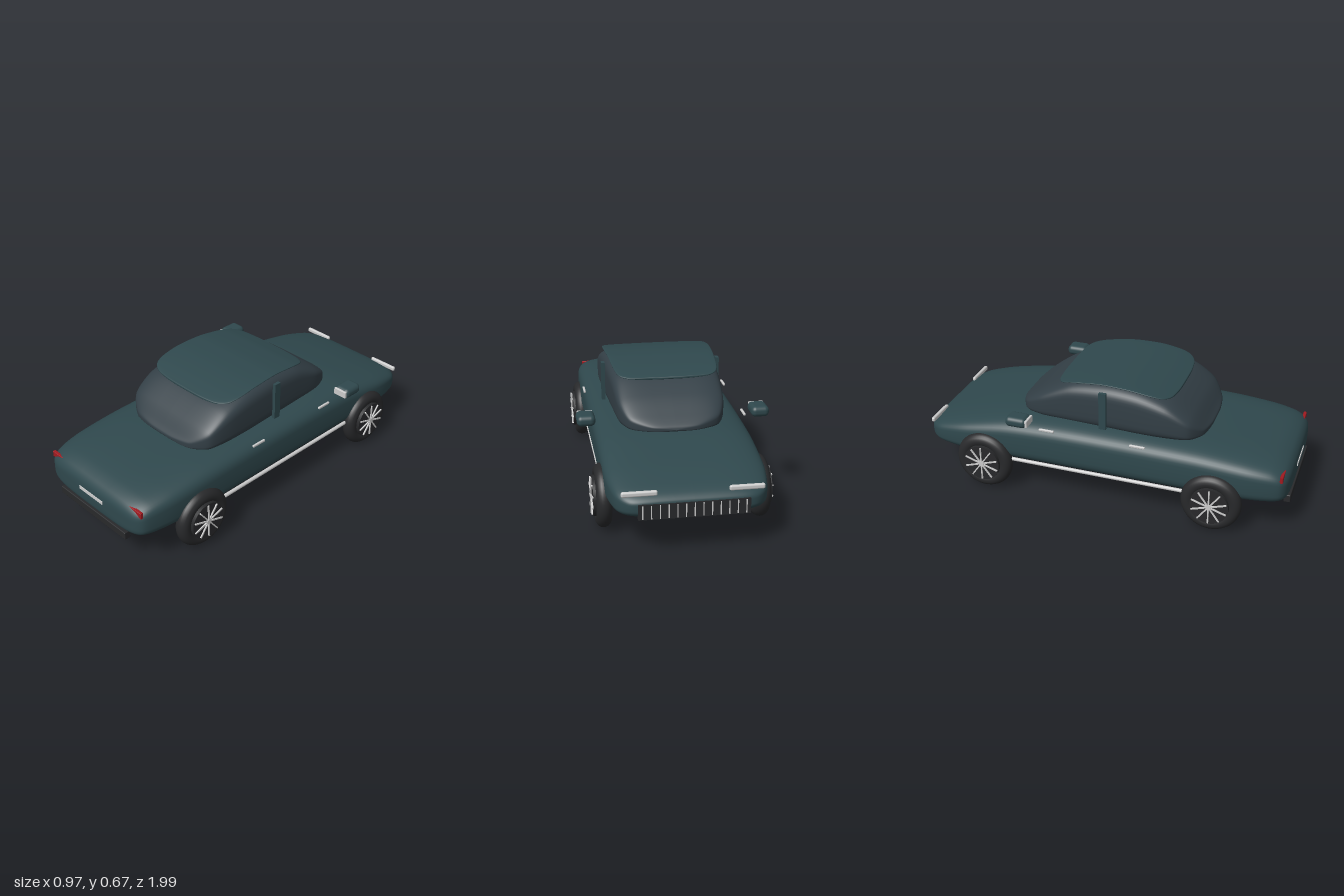
import * as THREE from 'three';
import { RoundedBoxGeometry } from 'three/addons/geometries/RoundedBoxGeometry.js';

const mat = (color) => new THREE.MeshStandardMaterial({ color });

// Smooth closed hull through sections [z, bottom, top, halfWidth], z ascending.
function loft(sections, power, steps = 72, around = 64) {
  const spine = new THREE.CatmullRomCurve3(
    sections.map((s) => new THREE.Vector3(s[0], s[1], s[2])), false, 'catmullrom', 0.4);
  const width = new THREE.CatmullRomCurve3(
    sections.map((s) => new THREE.Vector3(s[3], 0, 0)), false, 'catmullrom', 0.4);
  const round = (v) => Math.sign(v) * Math.pow(Math.abs(v), 2 / power);
  const pos = [];
  const index = [];
  for (let i = 0; i <= steps; i++) {
    const p = spine.getPoint(i / steps);
    const w = Math.max(width.getPoint(i / steps).x, 0);
    for (let j = 0; j < around; j++) {
      const a = (j / around) * Math.PI * 2;
      pos.push(w * round(Math.cos(a)), (p.y + p.z) / 2 + ((p.z - p.y) / 2) * round(Math.sin(a)), p.x);
      if (i === steps) continue;
      const k = (j + 1) % around;
      const [q, r, s, t] = [i * around + j, i * around + k, (i + 1) * around + k, (i + 1) * around + j];
      index.push(q, r, t, r, s, t);
    }
  }
  const g = new THREE.BufferGeometry();
  g.setAttribute('position', new THREE.Float32BufferAttribute(pos, 3));
  g.setIndex(index);
  g.computeVertexNormals();
  return g;
}

export function createModel() {
  const car = new THREE.Group();
  car.name = 'car';
  const paint = mat(0x2f484d);
  const glass = mat(0x333f46);
  const black = mat(0x28292b);
  const red = mat(0xa01a20);
  const white = mat(0xf2f2f2);
  const grey = mat(0xcccccc);

  const add = (name, geometry, material, x = 0, y = 0, z = 0, parent = car) => {
    const m = new THREE.Mesh(geometry, material);
    m.name = name;
    m.position.set(x, y, z);
    parent.add(m);
    return m;
  };
  const box = (w, h, d) => new THREE.BoxGeometry(w, h, d);

  // Body hull, nose towards -z
  add('body', loft([
    [-0.993, 0.245, 0.245, 0],
    [-0.988, 0.21, 0.275, 0.25],
    [-0.96, 0.188, 0.298, 0.32],
    [-0.9, 0.172, 0.322, 0.36],
    [-0.75, 0.158, 0.363, 0.387],
    [-0.5, 0.152, 0.412, 0.392],
    [-0.2, 0.15, 0.428, 0.392],
    [0.2, 0.15, 0.428, 0.392],
    [0.55, 0.152, 0.42, 0.392],
    [0.78, 0.156, 0.4, 0.387],
    [0.9, 0.163, 0.38, 0.37],
    [0.96, 0.175, 0.353, 0.345],
    [0.987, 0.2, 0.315, 0.27],
    [0.993, 0.25, 0.25, 0],
  ], 4), paint);

  // Glass cabin
  add('cabinGlass', loft([
    [-0.5, 0.42, 0.42, 0],
    [-0.49, 0.41, 0.44, 0.12],
    [-0.44, 0.4, 0.48, 0.225],
    [-0.34, 0.39, 0.55, 0.27],
    [-0.18, 0.38, 0.63, 0.285],
    [0.02, 0.38, 0.658, 0.297],
    [0.2, 0.38, 0.648, 0.304],
    [0.35, 0.39, 0.605, 0.305],
    [0.46, 0.4, 0.53, 0.283],
    [0.52, 0.41, 0.46, 0.2],
    [0.538, 0.42, 0.44, 0.1],
    [0.542, 0.43, 0.43, 0],
  ], 4.5), glass);

  // Thin arched roof shell
  const roof = [[-0.263, 0], [-0.26, 0.12], [-0.25, 0.21], [-0.22, 0.252], [-0.15, 0.27], [0, 0.282],
    [0.15, 0.29], [0.26, 0.287], [0.32, 0.268], [0.355, 0.215], [0.369, 0.12], [0.372, 0]];
  add('roof', loft(roof.map(([z, w]) => {
    const top = 0.667 - 0.48 * (z - 0.055) ** 2;
    return [z, top - (w ? 0.012 : 0.006), top - (w ? 0 : 0.006), w];
  }), 4), paint);

  // Tapered tail light outline, inner end at x = 0.16
  const tail = new THREE.Shape();
  tail.moveTo(0.345, 0.342);
  tail.lineTo(0.165, 0.342);
  tail.quadraticCurveTo(0.152, 0.338, 0.165, 0.331);
  tail.quadraticCurveTo(0.23, 0.328, 0.27, 0.317);
  tail.lineTo(0.345, 0.314);
  tail.closePath();

  for (const s of [1, -1]) {
    const side = s > 0 ? 'left' : 'right';
    add(side + 'Pillar', box(0.018, 0.205, 0.038), paint, s * 0.308, 0.525, 0.017);
    const light = add(side + 'TailLight', new THREE.ExtrudeGeometry(tail,
      { depth: 0.012, bevelEnabled: true, bevelSize: 0.002, bevelThickness: 0.002, bevelSegments: 1 }),
    red, 0, 0, 0.948);
    if (s < 0) {
      light.rotation.y = Math.PI;
      light.position.z = 0.96;
    }
    add(side + 'Headlight', new RoundedBoxGeometry(0.168, 0.026, 0.02, 4, 0.009), white, s * 0.25, 0.305, -0.956);

    // Side mirror with rear-facing glass
    add(side + 'MirrorShell', new RoundedBoxGeometry(0.092, 0.055, 0.115, 5, 0.024), paint, s * 0.439, 0.47, -0.395);
    add(side + 'MirrorGlass', new RoundedBoxGeometry(0.078, 0.038, 0.014, 2, 0.004), grey, s * 0.439, 0.471, -0.337);

    // Door handles and sill tube
    for (const z of [0.23, -0.26]) {
      add(side + 'DoorHandle', new RoundedBoxGeometry(0.012, 0.013, 0.082, 2, 0.004), grey, s * 0.394, 0.405, z);
    }
    const sill = add(side + 'SillTrim', new THREE.CylinderGeometry(0.01, 0.01, 0.96, 16), grey, s * 0.376, 0.182, -0.005);
    sill.rotation.x = Math.PI / 2;

    // Wheels: the outer face points along the group's +z
    for (const [end, z] of [['rear', 0.62], ['front', -0.625]]) {
      const wheel = new THREE.Group();
      wheel.name = `${end}${s > 0 ? 'Left' : 'Right'}Wheel`;
      wheel.position.set(s * 0.387, 0.158, z);
      wheel.rotation.y = s * Math.PI / 2;
      car.add(wheel);
      add('tire', new THREE.TorusGeometry(0.119, 0.038, 20, 56), black, 0, 0, 0, wheel);
      const disc = add('rimDisc', new THREE.CylinderGeometry(0.1, 0.1, 0.06, 40), black, 0, 0, 0.02, wheel);
      disc.rotation.x = Math.PI / 2;
      for (let i = 0; i < 10; i++) {
        const arm = new THREE.Group();
        arm.name = 'spokeArm';
        arm.rotation.z = (i / 10) * Math.PI * 2;
        wheel.add(arm);
        add('spoke', box(0.007, 0.085, 0.012), grey, 0, 0.052, 0.051, arm);
      }
      const hub = add('hubCap', new THREE.CylinderGeometry(0.014, 0.014, 0.014, 20), grey, 0, 0, 0.052, wheel);
      hub.rotation.x = Math.PI / 2;
    }
  }

  // Rear bumper and plate
  add('rearBumper', new RoundedBoxGeometry(0.51, 0.042, 0.034, 2, 0.004), black, 0, 0.169, 0.978);
  add('rearPlate', box(0.18, 0.018, 0.014), grey, 0, 0.277, 0.988);

  // Front grille with upright slats
  add('grille', box(0.52, 0.075, 0.022), black, 0, 0.228, -0.984);
  for (let i = 0; i < 13; i++) {
    add('grilleSlat', box(0.005, 0.066, 0.008), grey, -0.24 + i * 0.04, 0.228, -0.995);
  }
  return car;
}
